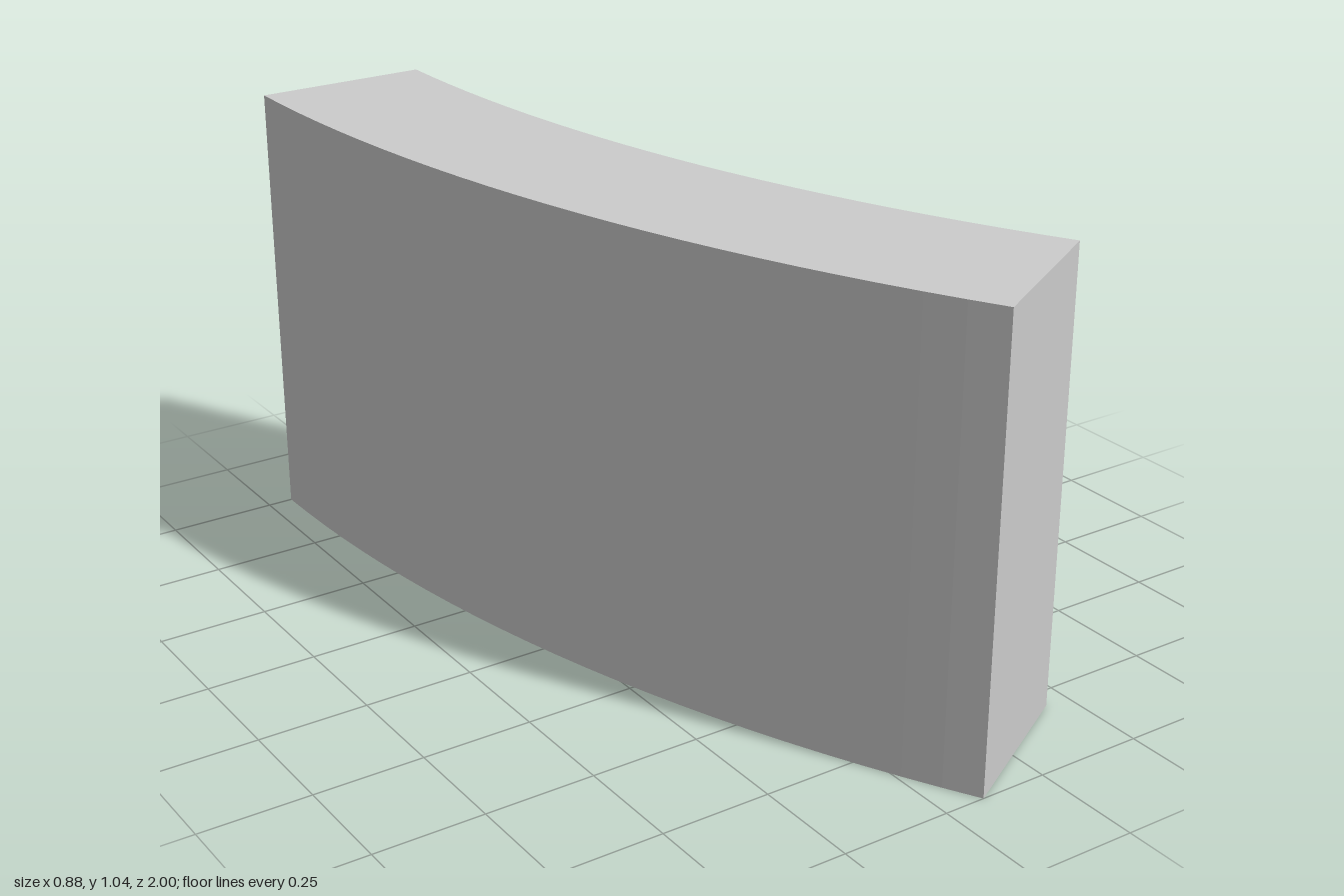
import * as THREE from 'three';

export function createModel() {
  const outerRadius = 4, innerRadius = 3.6, height = 1.04;
  const start = Math.PI, end = Math.PI * 5 / 6; // 30 degree sweep
  const centreX = (outerRadius + innerRadius * Math.cos(Math.PI / 6)) / 2;
  const centreZ = -1;

  // Plan outline: outer arc forward, inner arc back
  const plan = new THREE.Shape();
  plan.absarc(centreX, centreZ, outerRadius, start, end, true);
  plan.absarc(centreX, centreZ, innerRadius, end, start, false);
  plan.closePath();

  // Raise the plan into a wall standing on the ground
  const geometry = new THREE.ExtrudeGeometry(plan, {
    depth: height, bevelEnabled: false, curveSegments: 12,
  });
  geometry.rotateX(Math.PI / 2).translate(0, height, 0);

  const wall = new THREE.Mesh(geometry, new THREE.MeshStandardMaterial({ color: 0xcccccc }));
  wall.name = 'curvedWall';

  const group = new THREE.Group();
  group.name = 'curvedWallSegment';
  group.add(wall);
  return group;
}
